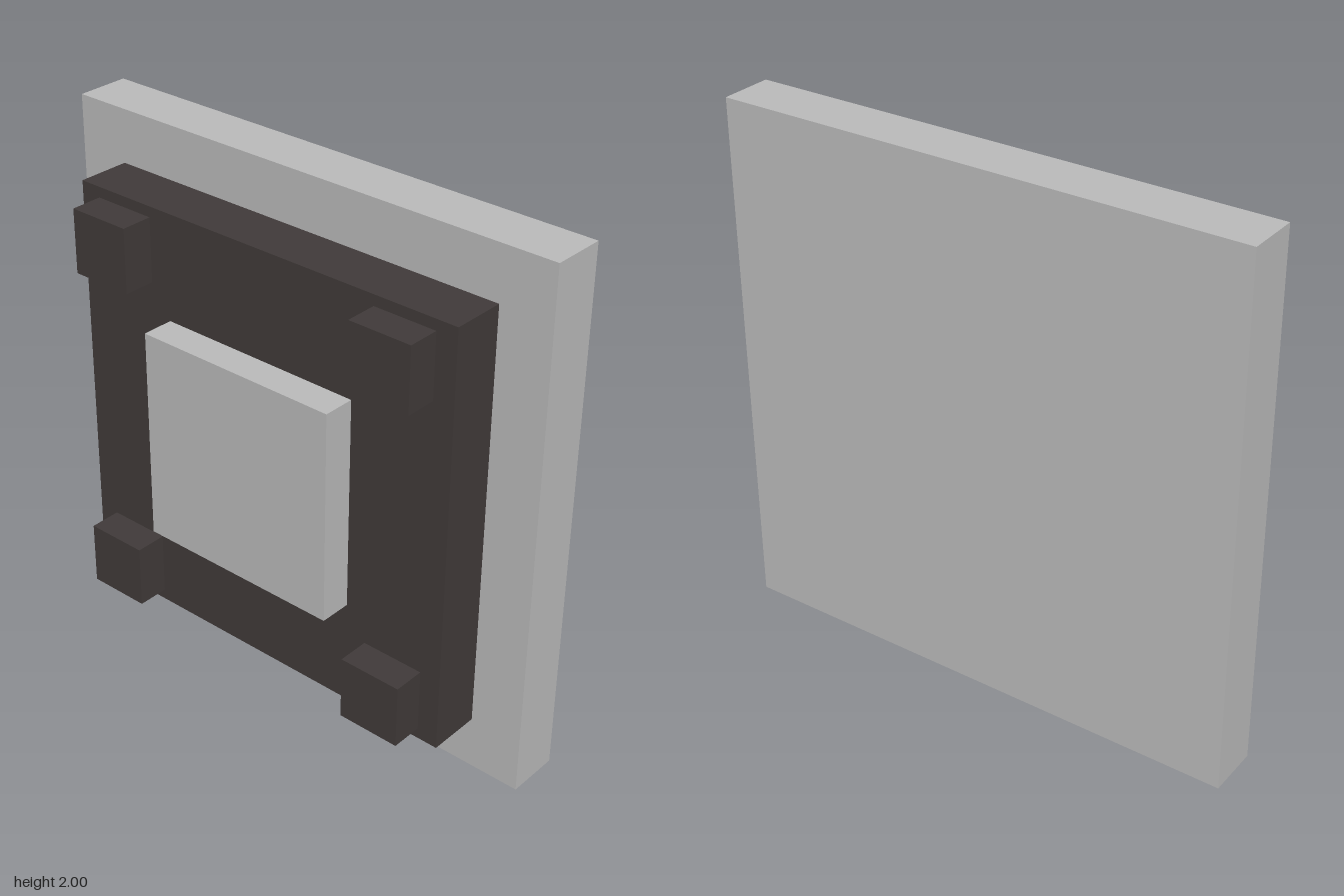
import * as THREE from 'three';

export function createModel() {
  const model = new THREE.Group();
  const lightGrey = new THREE.MeshStandardMaterial({ color: 0xbababa });
  lightGrey.name = 'light grey';
  const darkBrown = new THREE.MeshStandardMaterial({ color: 0x403a39 });
  darkBrown.name = 'dark brown';

  // Square block centred on (x, y), reaching from zBack to zFront
  function block(name, size, x, y, zBack, zFront, material) {
    const mesh = new THREE.Mesh(new THREE.BoxGeometry(size, size, zFront - zBack), material);
    mesh.position.set(x, y, (zBack + zFront) / 2);
    mesh.name = name;
    model.add(mesh);
  }

  // Stacked square plates
  block('backPlate', 2, 0, 1, -0.26, -0.06, lightGrey);
  block('middlePlate', 1.6, 0, 1, -0.06, 0.14, darkBrown);
  block('centrePanel', 0.8, 0, 1, 0.14, 0.26, lightGrey);

  // Corner studs
  for (const [side, sx] of [['Left', 1], ['Right', -1]]) {
    for (const [level, sy] of [['upper', 1], ['lower', -1]]) {
      block(`${level}${side}Stud`, 0.24, sx * 0.6, 1 + sy * 0.64, 0.14, 0.26, darkBrown);
    }
  }

  return model;
}
